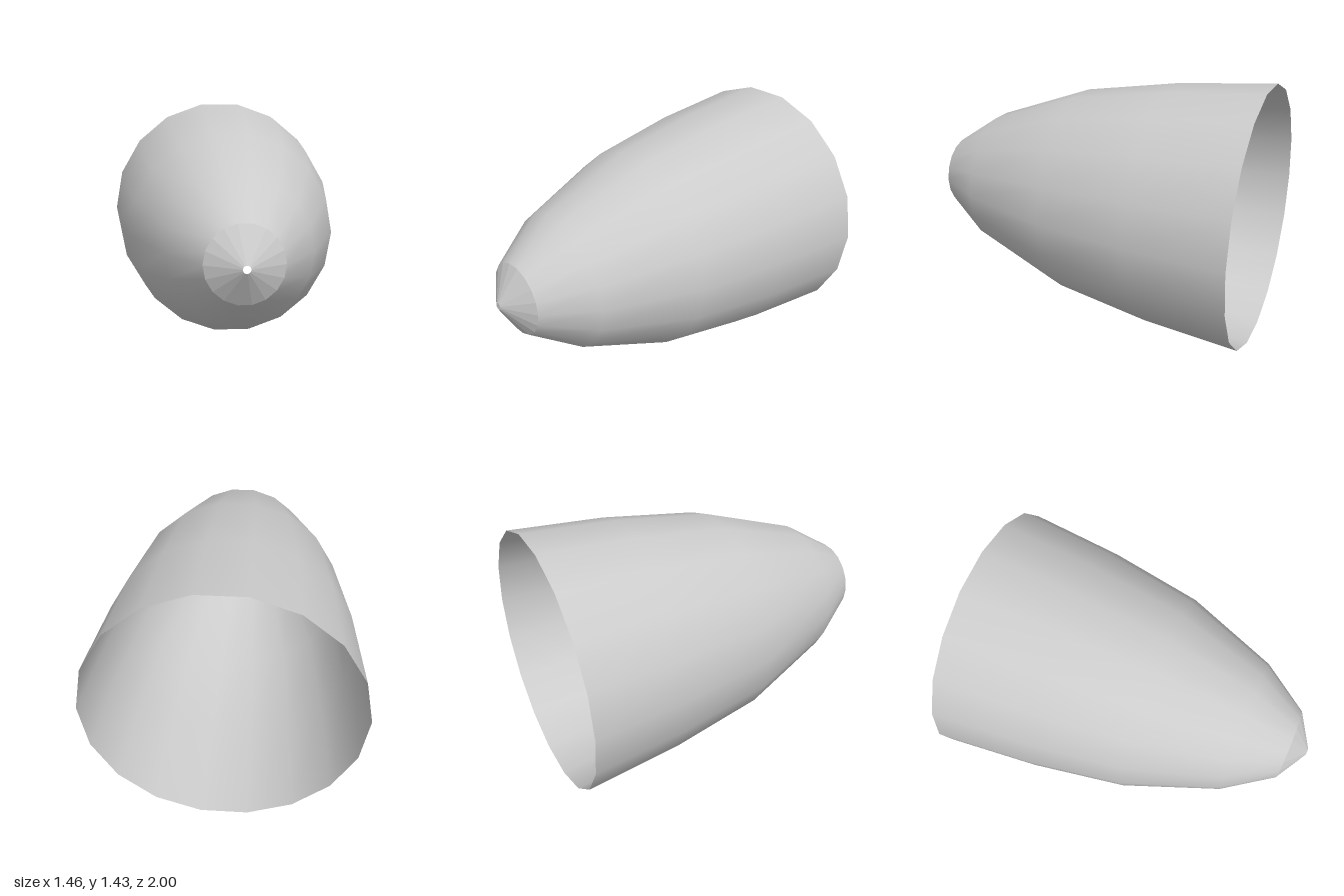
import * as THREE from 'three';

const SIDES = 18;
const CENTRE_Y = 0.72;

// Revolves [radius, z] points about the z axis, with a vertex on +x.
function revolve(name, profile, flatShading) {
  const points = profile.map(([r, z]) => new THREE.Vector2(r, z));
  const geometry = new THREE.LatheGeometry(points, SIDES, Math.PI / 2);
  geometry.rotateX(Math.PI / 2);
  const material = new THREE.MeshStandardMaterial({
    color: 0xcccccc, side: THREE.DoubleSide, flatShading,
  });
  const mesh = new THREE.Mesh(geometry, material);
  mesh.name = name;
  mesh.position.y = CENTRE_Y;
  return mesh;
}

export function createModel() {
  const model = new THREE.Group();
  model.name = 'noseCone';

  // Smooth open shell, widest at the back
  model.add(revolve('shell', [
    [0.728, -1], [0.678, -0.46], [0.588, 0.08], [0.391, 0.615], [0.205, 0.89],
  ], false));

  // Faceted tip with a small hole at the point
  model.add(revolve('tip', [[0.205, 0.89], [0.02, 1]], true));

  return model;
}
